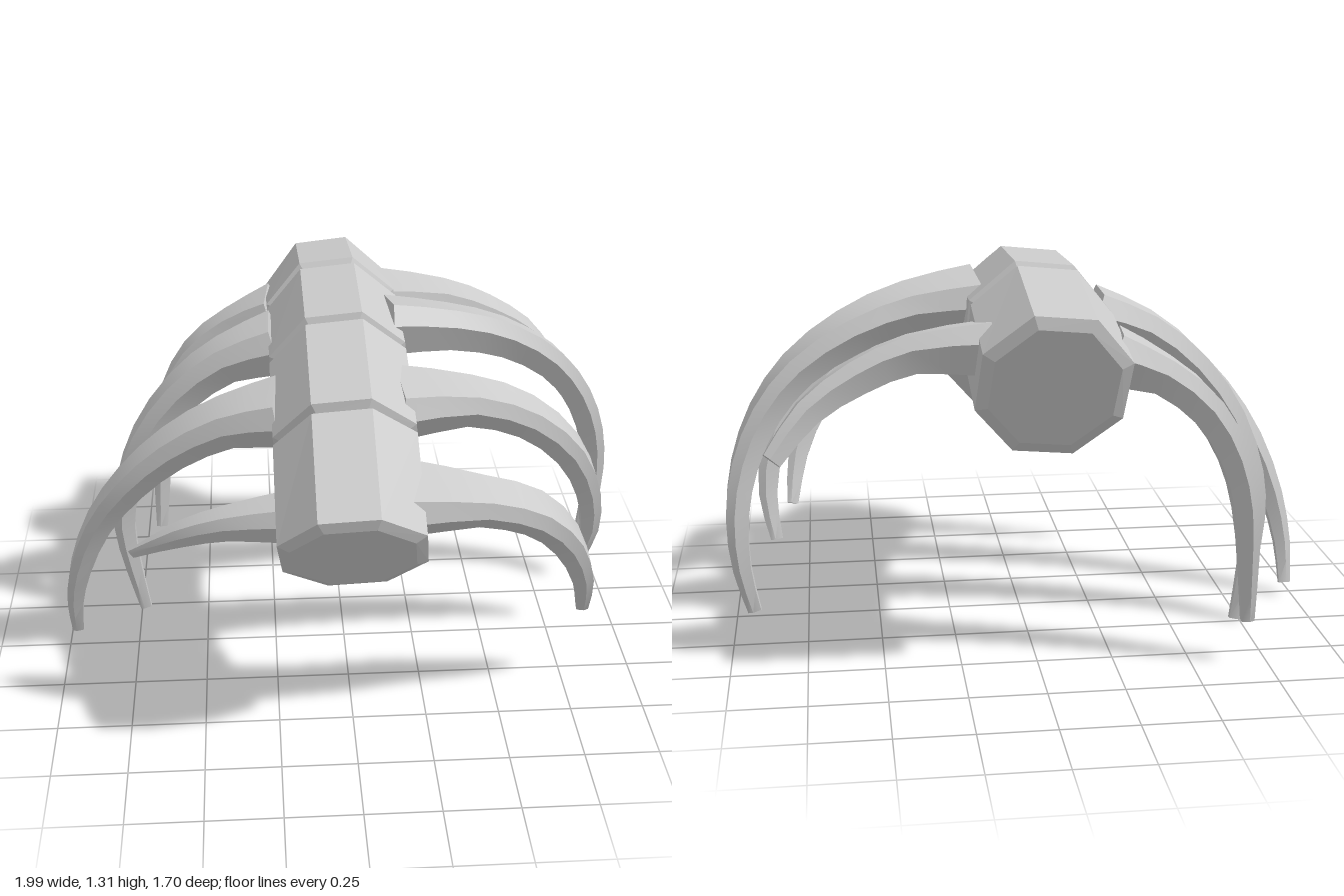
import * as THREE from 'three';
import { toCreasedNormals } from 'three/addons/utils/BufferGeometryUtils.js';

const material = new THREE.MeshStandardMaterial({ color: 0xcccccc });

// Skin a list of equal rings (counter-clockwise about the direction of travel) and cap both ends
function loft(rings, crease) {
  const pos = [];
  const tri = (...pts) => pts.forEach((p) => pos.push(p.x, p.y, p.z));
  const n = rings[0].length;
  for (let j = 0; j < rings.length - 1; j++) {
    for (let i = 0; i < n; i++) {
      const k = (i + 1) % n;
      const a = rings[j][i], b = rings[j][k], c = rings[j + 1][k], d = rings[j + 1][i];
      tri(a, b, c);
      tri(a, c, d);
    }
  }
  const first = rings[0], last = rings[rings.length - 1];
  for (let i = 1; i < n - 1; i++) {
    tri(first[0], first[i + 1], first[i]);
    tri(last[0], last[i], last[i + 1]);
  }
  const geometry = new THREE.BufferGeometry();
  geometry.setAttribute('position', new THREE.Float32BufferAttribute(pos, 3));
  geometry.computeVertexNormals();
  return crease ? toCreasedNormals(geometry, crease) : geometry;
}

// Octagon on a tilted plane given as [topZ, topY, bottomZ, bottomY]
function octagon([tz, ty, bz, by], scale) {
  return Array.from({ length: 8 }, (_, i) => {
    const a = THREE.MathUtils.degToRad(28 + 45 * i);
    const h = 0.5 + (Math.sin(a) / 0.956 / 2) * scale;
    return new THREE.Vector3(-0.014 + 0.247 * scale * Math.cos(a),
      THREE.MathUtils.lerp(by, ty, h), THREE.MathUtils.lerp(bz, tz, h));
  });
}

// Vertebra between two tilted end planes, with chamfered rims
function vertebra({ back, front }) {
  const ring = (s, scale) => octagon(back.map((v, i) => THREE.MathUtils.lerp(v, front[i], s)), scale);
  return loft([ring(-0.045, 0.84), ring(0, 1), ring(1, 1), ring(1.045, 0.84)]);
}

// Hexagonal rib section: wide shoulders, narrower underside
const section = [[0.5, 0.12], [0.27, -0.5], [-0.27, -0.5], [-0.5, 0.12], [-0.36, 0.5], [0.36, 0.5]];

// Tapering rib along points of [x, y, z, width], rolled to follow the slope of its vertebra
function rib({ roll, points }) {
  const curve = new THREE.CatmullRomCurve3(points.map((p) => new THREE.Vector3(p[0], p[1], p[2])));
  const side = Math.sign(points[0][0]);
  const steps = (points.length - 1) * 2;
  const rings = [];
  for (let j = 0; j <= steps; j++) {
    const t = j / steps;
    const f = t * (points.length - 1);
    const k = Math.min(Math.floor(f), points.length - 2);
    const w = THREE.MathUtils.lerp(points[k][3], points[k + 1][3], f - k);
    const thick = 0.6 * w + 0.022;
    const center = curve.getPoint(t);
    const tangent = curve.getTangent(t);
    const b = new THREE.Vector3(0, -Math.sin(roll), Math.cos(roll)).multiplyScalar(side);
    b.addScaledVector(tangent, -b.dot(tangent)).normalize();
    const n = new THREE.Vector3().crossVectors(b, tangent);
    rings.push(section.map(([u, v]) =>
      center.clone().addScaledVector(b, u * w).addScaledVector(n, v * thick)));
  }
  return loft(rings, 0.6);
}

// End planes of the vertebrae, front to back
const vertebrae = [
  { back: [0.485, 1.17, 0.316, 0.74], front: [0.85, 0.986, 0.577, 0.59] },
  { back: [0.066, 1.29, -0.01, 0.825], front: [0.458, 1.19, 0.294, 0.745] },
  { back: [-0.367, 1.318, -0.37, 0.835], front: [0.03, 1.3, -0.036, 0.828] },
  { back: [-0.845, 1.24, -0.663, 0.768], front: [-0.435, 1.314, -0.394, 0.836] },
];

// Rib paths, front to back
const leftRibs = [
  { roll: 0.28, points: [[0.16, 0.9, 0.59, 0.26], [0.4, 0.88, 0.585, 0.17], [0.57, 0.81, 0.545, 0.155],
    [0.7, 0.66, 0.465, 0.125], [0.775, 0.48, 0.4, 0.08], [0.8, 0.31, 0.33, 0.03]] },
  { roll: 0.16, points: [[0.16, 1.06, 0.24, 0.27], [0.4, 1.05, 0.215, 0.18], [0.6, 0.965, 0.17, 0.155],
    [0.76, 0.81, 0.115, 0.13], [0.85, 0.62, 0.06, 0.1], [0.875, 0.45, 0.025, 0.065], [0.85, 0.295, -0.01, 0.03]] },
  { roll: -0.2, points: [[0.16, 1.16, -0.18, 0.26], [0.38, 1.14, -0.2, 0.2], [0.58, 1.075, -0.245, 0.17],
    [0.75, 0.965, -0.28, 0.145], [0.86, 0.83, -0.305, 0.125], [0.93, 0.67, -0.33, 0.105],
    [0.96, 0.5, -0.35, 0.085], [0.953, 0.32, -0.35, 0.06], [0.92, 0.165, -0.335, 0.035]] },
  { roll: 0.16, points: [[0.16, 1.09, -0.59, 0.24], [0.4, 1.08, -0.595, 0.16], [0.57, 1.015, -0.61, 0.14],
    [0.72, 0.92, -0.65, 0.105], [0.83, 0.79, -0.705, 0.065]] },
];
const rightRibs = [
  { roll: 0, points: [[-0.2, 0.84, 0.57, 0.18], [-0.4, 0.805, 0.535, 0.115], [-0.55, 0.745, 0.49, 0.08],
    [-0.715, 0.65, 0.44, 0.015]] },
  { roll: 0.12, points: [[-0.22, 1.03, 0.22, 0.26], [-0.4, 0.99, 0.2, 0.19], [-0.58, 0.885, 0.17, 0.16],
    [-0.73, 0.745, 0.145, 0.135], [-0.85, 0.57, 0.1, 0.11], [-0.93, 0.37, 0.055, 0.085],
    [-0.965, 0.2, 0.01, 0.055], [-0.97, 0.055, -0.03, 0.03]] },
  { roll: 0, points: [[-0.22, 1.1, -0.185, 0.26], [-0.4, 1.04, -0.19, 0.19], [-0.56, 0.915, -0.2, 0.165],
    [-0.69, 0.74, -0.205, 0.14], [-0.77, 0.54, -0.21, 0.11], [-0.79, 0.38, -0.215, 0.085],
    [-0.77, 0.2, -0.225, 0.06], [-0.735, 0.01, -0.23, 0.03]] },
  { roll: 0, points: [[-0.22, 1.05, -0.57, 0.25], [-0.38, 0.99, -0.59, 0.16], [-0.52, 0.875, -0.605, 0.14],
    [-0.61, 0.72, -0.61, 0.12], [-0.655, 0.55, -0.61, 0.1], [-0.67, 0.35, -0.605, 0.065],
    [-0.68, 0.155, -0.59, 0.035]] },
];

export function createModel() {
  const model = new THREE.Group();
  model.name = 'ribCage';
  const add = (name, geometry) => {
    const mesh = new THREE.Mesh(geometry, material);
    mesh.name = name;
    model.add(mesh);
  };
  vertebrae.forEach((v, i) => {
    add(`vertebra${i + 1}`, vertebra(v));
    // Recessed disc joining this vertebra to the one in front
    if (i > 0) add(`disc${i}`, loft([octagon(v.front, 0.84), octagon(vertebrae[i - 1].back, 0.84)]));
  });
  leftRibs.forEach((r, i) => add(`leftRib${i + 1}`, rib(r)));
  rightRibs.forEach((r, i) => add(`rightRib${i + 1}`, rib(r)));
  return model;
}
